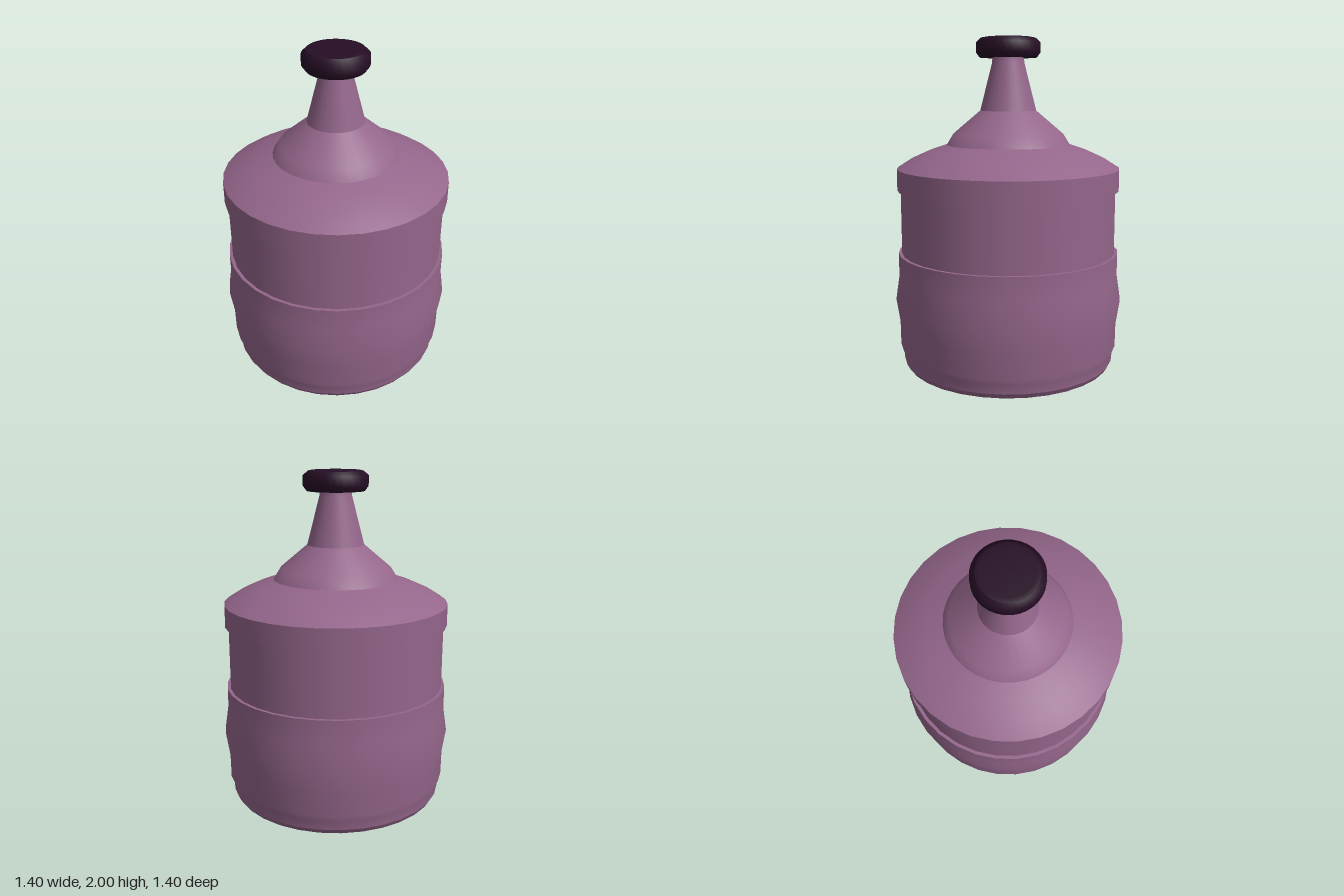
import * as THREE from 'three';

const SEGMENTS = 32;

export function createModel() {
  const model = new THREE.Group();
  model.name = 'canister';

  const mauve = new THREE.MeshStandardMaterial({ color: 0x94668b });
  mauve.name = 'mauve shell';
  const plum = new THREE.MeshStandardMaterial({ color: 0x260e25 });
  plum.name = 'dark plum knob';

  // Each section is its own lathe, so edges between sections stay sharp.
  function turn(name, material, ...profiles) {
    const part = new THREE.Group();
    part.name = name;
    profiles.forEach((profile, i) => {
      const points = profile.map(([r, y]) => new THREE.Vector2(r, y));
      const mesh = new THREE.Mesh(new THREE.LatheGeometry(points, SEGMENTS), material);
      mesh.name = `${name}Section${i + 1}`;
      part.add(mesh);
    });
    model.add(part);
  }

  // Recessed underside: floor, inner wall and standing ring
  turn('baseRecess', mauve,
    [[0, 0.09], [0.54, 0.09]],
    [[0.54, 0.09], [0.545, 0]],
    [[0.545, 0], [0.635, 0]]);

  // Lower body with a soft belly and a small ledge on top
  turn('lowerBody', mauve,
    [[0.635, 0], [0.653, 0.03]],
    [[0.653, 0.03], [0.658, 0.085], [0.675, 0.125], [0.677, 0.27],
      [0.699, 0.415], [0.677, 0.56], [0.677, 0.705]],
    [[0.677, 0.705], [0.657, 0.705]]);

  // Straight waist
  turn('waist', mauve, [[0.657, 0.705], [0.657, 1.09]]);

  // Collar band overhanging the waist
  turn('collar', mauve,
    [[0.657, 1.09], [0.677, 1.09]],
    [[0.677, 1.09], [0.677, 1.22]]);

  // Domed shoulder, cone and neck
  turn('shoulder', mauve, [[0.677, 1.22], [0.59, 1.275], [0.48, 1.325], [0.375, 1.36]]);
  turn('cone', mauve, [[0.375, 1.36], [0.335, 1.425], [0.17, 1.565]]);
  turn('neck', mauve, [[0.17, 1.565], [0.097, 1.85], [0.095, 1.885]]);

  // Bevelled knob
  turn('knob', plum,
    [[0, 1.88], [0.172, 1.88]],
    [[0.172, 1.88], [0.194, 1.91], [0.194, 1.968], [0.165, 1.995]],
    [[0.165, 1.995], [0.14, 2], [0, 2]]);

  return model;
}
